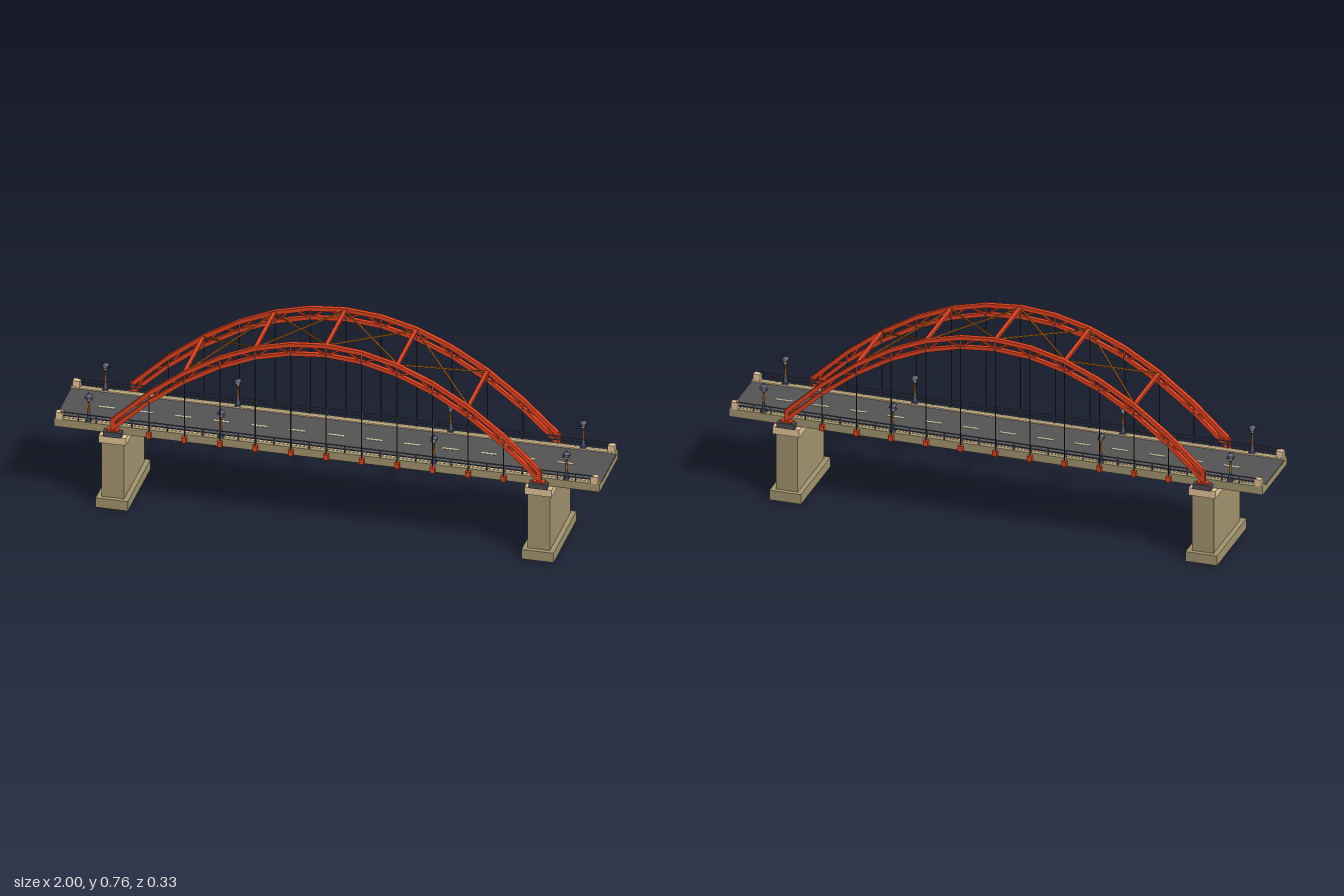
import * as THREE from 'three';

const mat = (name, color) => {
  const m = new THREE.MeshStandardMaterial({ color });
  m.name = name;
  return m;
};

export function createModel() {
  const root = new THREE.Group();
  root.name = 'archBridge';
  const red = mat('red steel', 0xe2431f);
  const stone = mat('weathered stone', 0xa3956f);
  const paleStone = mat('pale stone', 0xe4c69a);
  const asphalt = mat('asphalt', 0x545454);
  const paint = mat('road paint', 0xf2e4c0);
  const slate = mat('dark iron', 0x4c4d52);
  const lampIron = mat('blue grey iron', 0x4e546a);
  const bronze = mat('bronze', 0xb8681c);
  const cable = mat('cable', 0x34373f);
  const glass = mat('lamp glass', 0xd4d6dc);

  const add = (parent, name, geo, material, x = 0, y = 0, z = 0) => {
    const m = new THREE.Mesh(geo, material);
    m.name = name;
    m.position.set(x, y, z);
    parent.add(m);
    return m;
  };
  // Box given by its bottom and top heights
  const block = (parent, name, material, x, y0, y1, z, w, d) =>
    add(parent, name, new THREE.BoxGeometry(w, y1 - y0, d), material, x, (y0 + y1) / 2, z);
  // Square bar between two points
  const bar = (parent, name, material, a, b, w) => {
    const p = new THREE.Vector3(...a), q = new THREE.Vector3(...b);
    const m = add(parent, name, new THREE.BoxGeometry(w, w, p.distanceTo(q)), material);
    m.position.copy(p).add(q).multiplyScalar(0.5);
    m.lookAt(q);
    return m;
  };
  const group = (name) => {
    const g = new THREE.Group();
    g.name = name;
    root.add(g);
    return g;
  };

  const PANEL = 0.13, SPAN = 0.78, ARCH_Z = 0.14;
  const upper = (x) => 0.75 - 0.4 * (x / SPAN) ** 2;
  const lower = (x) => 0.714 - 0.396 * (x / SPAN) ** 2;

  // Piers with footing, shaft and cap
  for (const x of [-SPAN, SPAN]) {
    const pier = group('pier');
    block(pier, 'footing', stone, x, 0, 0.038, 0, 0.118, 0.326);
    block(pier, 'shaft', stone, x, 0.038, 0.258, 0, 0.082, 0.292);
    block(pier, 'pierCap', paleStone, x, 0.258, 0.287, 0, 0.1, 0.31);
    for (const s of [-1, 1]) {
      block(pier, 'bearing', slate, x, 0.287, 0.307, s * 0.145, 0.066, 0.03);
      block(pier, 'bearingPlate', red, x, 0.307, 0.313, s * 0.141, 0.045, 0.022);
    }
  }

  // Deck, road, dashes, kerbs and footways
  const deck = group('deck');
  block(deck, 'deckSlab', stone, 0, 0.29, 0.314, 0, 2, 0.266);
  block(deck, 'road', asphalt, 0, 0.314, 0.317, 0, 1.998, 0.22);
  for (let k = -6; k <= 6; k++) {
    block(deck, 'laneDash', paint, k * 0.14, 0.317, 0.3185, 0, 0.06, 0.008);
  }
  for (const s of [-1, 1]) {
    block(deck, 'kerb', paleStone, 0, 0.314, 0.322, s * 0.1125, 2, 0.007);
    block(deck, 'footway', stone, 0, 0.314, 0.321, s * 0.1245, 2, 0.017);
  }

  // Railings with stone end posts
  for (const s of [-1, 1]) {
    const railing = group('railing');
    const z = s * 0.129;
    for (const y of [0.336, 0.349]) {
      add(railing, 'rail', new THREE.BoxGeometry(1.95, 0.0035, 0.0035), lampIron, 0, y, z);
    }
    for (let k = -14; k <= 14; k++) {
      block(railing, 'railPost', lampIron, k * 0.065, 0.321, 0.349, z, 0.0035, 0.0035);
    }
    for (const x of [-0.98, 0.98]) {
      block(railing, 'endPost', paleStone, x, 0.321, 0.347, s * 0.122, 0.026, 0.022);
    }
  }

  // Street lamps with square lanterns
  for (const x of [-0.875, -0.39, 0.39, 0.875]) for (const s of [-1, 1]) {
    const lamp = group('streetLamp');
    lamp.position.set(x, 0.321, s * 0.12);
    const round = (name, m, r1, r0, y0, y1) =>
      add(lamp, name, new THREE.CylinderGeometry(r1, r0, y1 - y0, 10), m, 0, (y0 + y1) / 2, 0);
    const square = (name, m, h1, h0, y0, y1) =>
      add(lamp, name, new THREE.CylinderGeometry(h1 * Math.SQRT2, h0 * Math.SQRT2, y1 - y0, 4)
        .toNonIndexed().rotateY(Math.PI / 4), m, 0, (y0 + y1) / 2, 0);
    square('lampBase', lampIron, 0.01, 0.01, 0, 0.008);
    round('lampPlinth', lampIron, 0.005, 0.008, 0.008, 0.036);
    round('lampPole', bronze, 0.0032, 0.004, 0.036, 0.077);
    square('lanternTray', lampIron, 0.006, 0.004, 0.077, 0.082);
    square('lantern', glass, 0.0078, 0.005, 0.082, 0.1);
    for (const i of [-1, 1]) for (const j of [-1, 1]) {
      bar(lamp, 'lanternFrame', lampIron, [i * 0.005, 0.082, j * 0.005],
        [i * 0.0078, 0.1, j * 0.0078], 0.0026);
    }
    square('lampRoof', lampIron, 0.004, 0.0115, 0.1, 0.109);
    round('lampFinial', lampIron, 0.0008, 0.002, 0.109, 0.115);
  }

  // A faceted chord is one extruded strip following its curve
  const chordGeometry = (curve, thick, depth) => {
    const top = [], bottom = [];
    for (let k = -6; k <= 6; k++) {
      const x = k * PANEL;
      const slope = (curve(x + 0.01) - curve(x - 0.01)) / 0.02;
      const h = thick / 2 * Math.hypot(1, slope);
      top.unshift(new THREE.Vector2(x, curve(x) + h));
      bottom.push(new THREE.Vector2(x, curve(x) - h));
    }
    return new THREE.ExtrudeGeometry(new THREE.Shape([...bottom, ...top]),
      { depth, bevelEnabled: false }).translate(0, 0, -depth / 2);
  };

  // Arch ribs with truss web, hangers and pins
  for (const s of [-1, 1]) {
    const rib = group('archRib');
    const z = s * ARCH_Z;
    add(rib, 'upperChord', chordGeometry(upper, 0.015, 0.016), red, 0, 0, z);
    add(rib, 'lowerChord', chordGeometry(lower, 0.014, 0.016), red, 0, 0, z);
    for (const x of [-SPAN, SPAN]) {
      block(rib, 'archFoot', red, x, 0.311, 0.355, z, 0.016, 0.016);
    }
    for (let k = -5; k <= 5; k++) {
      const x = k * PANEL;
      bar(rib, 'webPost', red, [x, lower(x), z], [x, upper(x), z], 0.006);
      block(rib, 'hanger', cable, x, 0.3, lower(x), z, 0.003, 0.003);
      block(rib, 'hangerAnchor', red, x, 0.293, 0.314, z, 0.017, 0.018);
      const pin = add(rib, 'hangerPin', new THREE.CylinderGeometry(0.004, 0.004, 0.021, 8),
        lampIron, x, lower(x), z);
      pin.rotation.x = Math.PI / 2;
    }
    // Zigzag web, mirrored about the crown
    for (let k = 0; k < 6; k++) for (const side of [-1, 1]) {
      const a = side * k * PANEL, b = side * (k + 1) * PANEL, m = (a + b) / 2;
      bar(rib, 'webDiagonal', red, [a, lower(a), z], [m, upper(m) - 0.002, z], 0.006);
      bar(rib, 'webDiagonal', red, [m, upper(m) - 0.002, z], [b, lower(b), z], 0.006);
    }
  }

  // Cross beams and crossed wind braces between the ribs
  const bracing = group('windBracing');
  const brZ = 0.133;
  for (let k = -2; k <= 2; k++) {
    const x = k * 0.26;
    add(bracing, 'crossBeam', new THREE.BoxGeometry(0.013, 0.01, 2 * brZ), red, x, upper(x), 0);
    if (k === 2) continue;
    const x2 = x + 0.26;
    for (const s of [-1, 1]) {
      bar(bracing, 'windBrace', bronze, [x, upper(x), s * brZ], [x2, upper(x2), -s * brZ], 0.005);
    }
  }
  return root;
}
